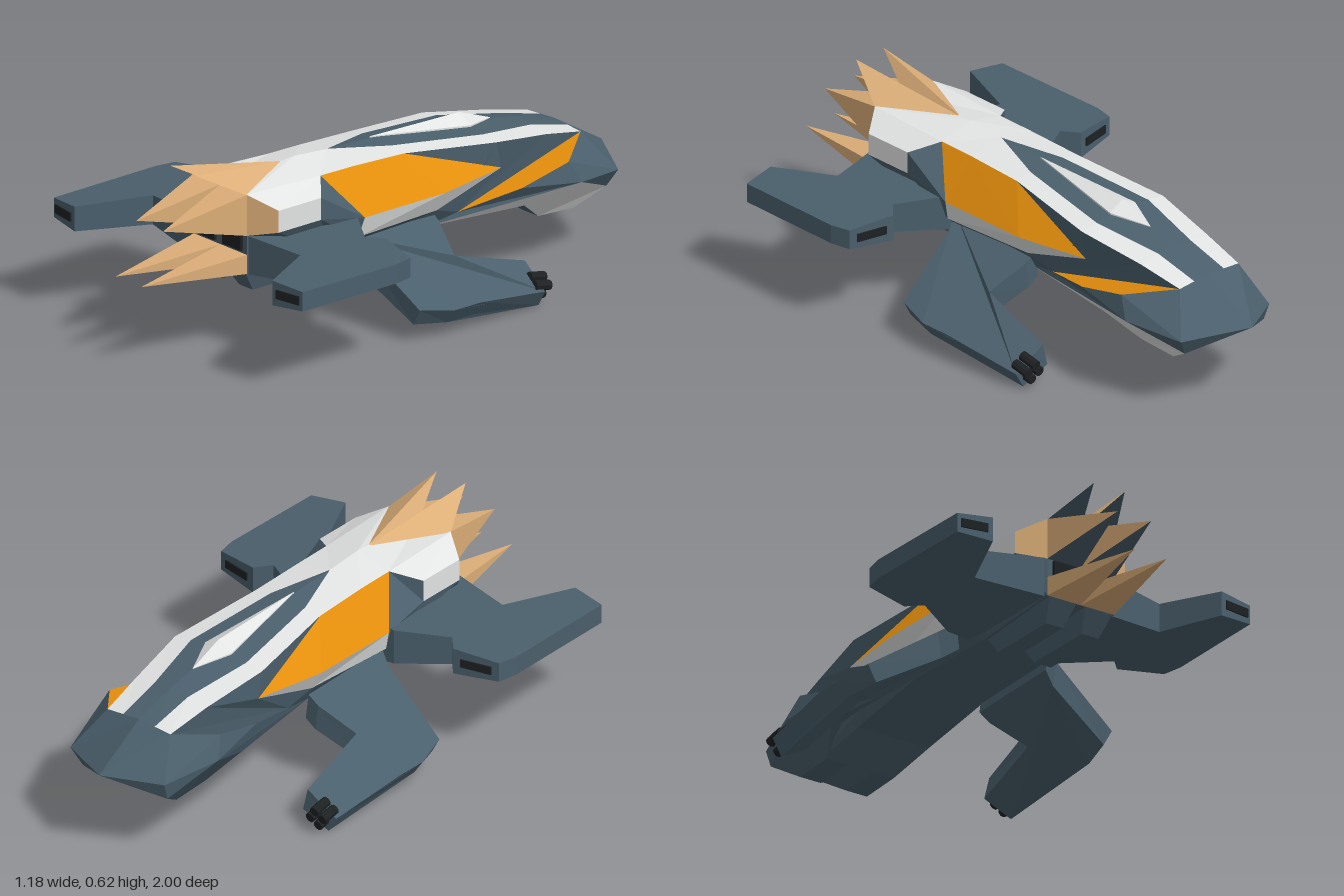
import * as THREE from 'three';

const mat = (name, color) => Object.assign(new THREE.MeshStandardMaterial({ color, flatShading: true }), { name });

export function createModel() {
  const slate = mat('slate', 0x4a5f6c), light = mat('light grey', 0xe2e4e3);
  const orange = mat('orange', 0xe68f0c), tan = mat('tan', 0xdcae78), black = mat('black', 0x1e2123);
  const model = new THREE.Group();
  const hull = new THREE.Group();
  hull.name = 'hull';
  hull.position.x = 0.022;
  model.add(hull);

  const add = (parent, name, geo, material) => {
    const mesh = new THREE.Mesh(geo, material);
    mesh.name = name;
    parent.add(mesh);
    return mesh;
  };

  // Flat panels from corner loops, turned to face away from a reference point
  function panels(name, material, polys, { sides = [1, -1], ref = null } = {}) {
    const out = [];
    for (const s of sides) for (const poly of polys) {
      // the head bulges a little less on the right
      const p = poly.map(([x, y, z]) => new THREE.Vector3(s < 0 && z < -0.44 && x > 0.2 ? 0.03 - x : x * s, y, z));
      const mid = p.reduce((a, v) => a.add(v), new THREE.Vector3()).divideScalar(p.length);
      const n = new THREE.Vector3();
      p.forEach((v, i) => n.add(v.clone().cross(p[(i + 1) % p.length])));
      const from = ref ? new THREE.Vector3(ref[0] * s, ref[1], ref[2]) : new THREE.Vector3(0, 0.36, mid.z);
      if (n.dot(mid.sub(from)) < 0) p.reverse();
      for (let i = 1; i < p.length - 1; i++) out.push(p[0], p[i], p[i + 1]);
    }
    const geo = new THREE.BufferGeometry().setFromPoints(out);
    geo.computeVertexNormals();
    return add(hull, name, geo, material);
  }

  // Deck sections: z, centre y, edge y, half width, stripe half width
  const deck = [
    [-0.8, 0.42, 0.41, 0.13, 0.065], [-0.64, 0.465, 0.445, 0.148, 0.07], [-0.4, 0.51, 0.485, 0.18, 0.115],
    [-0.05, 0.542, 0.52, 0.133, 0.072], [0.16, 0.55, 0.528, 0.13, 0], [0.3, 0.56, 0.53, 0.13, 0], [0.61, 0.54, 0.54, 0.13, 0],
  ].map(([z, yc, ye, w, s]) => ({ c: [0, yc, z], m: [s, yc + (ye - yc) * s / w, z], e: [w, ye, z], s }));
  const stripe = [], plating = [];
  for (let i = 0; i < deck.length - 1; i++) {
    const a = deck[i], b = deck[i + 1];
    if (a.s > 0) stripe.push([a.c, b.c, b.m, a.m]);
    plating.push([a.m, b.m, b.e, a.e]);
  }
  panels('deckStripe', slate, stripe);
  panels('deckPlating', light, plating);

  // Raised canopy with a short skirt
  const front = [0, 0.488, -0.53], ridge = [0, 0.538, -0.4], rim = [0.055, 0.508, -0.4], back = [0, 0.548, -0.02];
  const sunk = ([x, y, z]) => [x, y - 0.02, z];
  panels('canopy', light, [
    [front, ridge, rim], [ridge, back, rim], [front, rim, sunk(rim), sunk(front)], [rim, back, sunk(back), sunk(rim)],
  ]);

  // Hull corners on one side
  const [D0, D1, D2, D3, D4, D5] = deck.map((d) => d.e);
  const tip = [0, 0.3, -1], S0 = [0.21, 0.28, -0.89], S1 = [0.245, 0.375, -0.65], S2 = [0.265, 0.302, -0.69];
  const S3 = [0.237, 0.33, -0.46], N = [0.165, 0.28, -0.25], S4 = [0.14, 0.25, -0.12];
  const L0 = [0.175, 0.22, -0.87], K1 = [0.13, 0.157, -0.77], K2 = [0.13, 0.165, -0.62], K3 = [0.19, 0.245, -0.51];
  const O3 = [0.182, 0.395, -0.42], O4 = [0.22, 0.385, -0.15], O5 = [0.22, 0.385, 0.19];
  const P0 = [0.2, 0.315, 0.2], P1 = [0.18, 0.315, -0.15], B0 = [0.13, 0.25, 0.25], B1 = [0.13, 0.27, 0.61];
  const R0 = [0.215, 0.42, 0.37], R1 = [0.215, 0.495, 0.37], R2 = [0.215, 0.42, 0.55], R3 = [0.215, 0.495, 0.55];
  const T0 = [0.13, 0.54, 0.61], T1 = [0.13, 0.4, 0.61];
  const mid = ([, y, z], dy = 0) => [0, y + dy, z];
  const keel = ([, y, z]) => [0.05, y, z];

  // Head
  panels('headTop', slate, [[deck[0].c, D0, S0, tip], [D0, S1, S0], [S0, S1, S2]]);
  panels('headSides', slate, [[S1, S2, S3], [S2, S3, N], [S2, N, S4], [S0, S2, L0]]);
  panels('headBelly', slate, [
    [tip, S0, L0], [tip, L0, mid(L0)], [mid(L0), L0, K1, keel(K1)], [mid(L0), keel(K1), mid(K1, 0.03)],
    [keel(K1), K1, K2, keel(K2)], [mid(K1, 0.03), keel(K1), keel(K2), mid(K2, 0.03)],
    [mid(K2, 0.03), keel(K2), mid(K3)], [keel(K2), K2, K3, mid(K3)], [mid(K3), K3, S4, mid(S4)],
  ]);
  const cheek = [[S2, L0, K1, K2], [S2, K2, K3], [S2, K3, S4]];
  panels('leftCheek', light, cheek, { sides: [1] });
  panels('rightCheek', slate, cheek, { sides: [-1] });
  panels('headShelf', orange, [[D0, S1, S3, N]], { sides: [1], ref: [0.2, -2, -0.5] });
  // Wall inside the open right side of the head
  panels('innerWall', slate, [[D0, N, S4, [0.13, 0.245, -0.51], K2, K1]], { sides: [-1] });

  // Neck and flanks
  panels('neck', slate, [[N, D0, D1], [N, D1, D2, O3], [D2, D3, O3], [O3, N, P1]]);
  panels('sidePanel', orange, [[D3, O3, O4], [D3, O4, O5, D5, D4]]);
  panels('lowerStrip', light, [[O4, O3, P1], [O5, O4, P1, P0]]);
  panels('underside', slate, [[P1, N, S4], [P0, P1, S4, B0], [mid(S4), S4, B0, mid(B0)], [mid(B0), B0, B1, mid(B1)]]);
  panels('rearFlank', slate, [[D5, O5, R0, R1], [O5, P0, R0], [B0, P0, R0, R2], [B0, R2, T1, B1]]);
  panels('shoulder', light, [[R0, R1, R3, R2], [D5, T0, R3, R1]]);
  panels('shoulderEnd', tan, [[R2, R3, T0, T1]]);
  panels('sternPlate', slate, [[T1, B1, mid(B1), mid(T1)]], { ref: [0, 0.33, 0] });

  // Tail spikes, tan above and dark below
  const spike = (name, corners, point, lower) => {
    const faces = corners.map((c, i) => [c, corners[(i + 1) % corners.length], point]);
    const ref = [0, 1, 2].map((k) => corners.reduce((a, c) => a + c[k], 0) / corners.length);
    panels(name, tan, faces.filter((_, i) => i !== lower), { ref });
    if (lower >= 0) panels(name + 'Shade', slate, [faces[lower]], { ref });
  };
  spike('upperSpike', [[0, 0.555, 0.35], [0.13, 0.538, 0.61], [0, 0.538, 0.61]], [0.06, 0.625, 0.77], 1);
  spike('middleSpike', [[0, 0.54, 0.61], [0.13, 0.54, 0.61], [0.13, 0.4, 0.61], [0, 0.4, 0.61]], [0.065, 0.47, 0.91], 2);
  spike('lowerSpike', [[0, 0.335, 0.61], [0.13, 0.335, 0.61], [0.13, 0.27, 0.61], [0, 0.27, 0.61]], [0.063, 0.302, 1], -1);

  for (const s of [1, -1]) {
    // Exhaust and tapered belly pod
    add(hull, 'exhaust', new THREE.BoxGeometry(0.09, 0.05, 0.02), black).position.set(s * 0.065, 0.37, 0.61);
    const pod = new THREE.BoxGeometry(0.11, 0.08, 0.37);
    const p = pod.attributes.position;
    for (let i = 0; i < p.count; i++) if (p.getY(i) < 0) p.setXYZ(i, p.getX(i) * 0.6, p.getY(i), p.getZ(i) * 0.72);
    pod.computeVertexNormals();
    add(hull, 'bellyPod', pod, slate).position.set(s * 0.07, 0.237, 0.43);
  }

  // Wing plate: outline in x and z, surface heights from a rule
  function wing(name, outline, s, rule) {
    const shape = new THREE.Shape(outline.map(([x, z]) => new THREE.Vector2(x * s, -z)));
    const geo = new THREE.ExtrudeGeometry(shape, { depth: 1, bevelEnabled: false }).rotateX(-Math.PI / 2);
    const p = geo.attributes.position;
    for (let i = 0; i < p.count; i++) {
      const [x, y] = rule(Math.abs(p.getX(i)), p.getY(i) > 0.5, p.getZ(i));
      p.setXY(i, x * s, y);
    }
    geo.computeVertexNormals();
    return add(model, name, geo, slate);
  }
  const frontOutline = [[0.17, 0.22], [0.22, 0.19], [0.465, 0.15], [0.495, 0.03], [0.495, -0.08], [0.47, -0.375],
    [0.36, -0.385], [0.335, -0.11], [0.21, -0.15], [0.17, -0.15]];
  const { clamp, lerp } = THREE.MathUtils;
  for (const s of [1, -1]) {
    const tail = s > 0 ? 0.75 : 0.79, shift = s > 0 ? 0 : -0.03;
    const rearOutline = [[0.12, 0.2], [0.21, 0.2], [0.37, 0.3], [0.415, 0.25], [0.575, 0.285], [0.59, 0.355],
      [0.585, tail], [0.46, tail + 0.02], [0.36, 0.565], [0.12, 0.61]];
    wing('rearWing', rearOutline, s, (x, top) => {
      const t = clamp((x - 0.12) / 0.47, 0, 1);
      return [x, top ? 0.4 - 0.035 * t : 0.265 + 0.035 * t];
    });
    // Drooping arm, thinner at the outer edge, nose dipped
    wing('frontWing', frontOutline, s, (x, top, z) => {
      const y = 0.1 + 0.67 * (0.495 - x) - 0.06 * clamp((-z - 0.11) / 0.27, 0, 1);
      const t = clamp((x - 0.3) / 0.195, 0, 1);
      return top ? [x, y] : [x - lerp(0.012, 0.035, t), y - lerp(0.09, 0.05, t)];
    }).position.z = shift;

    // Wing tip slots
    const rearSlot = add(model, 'rearSlot', new THREE.BoxGeometry(0.095, 0.03, 0.012), black);
    rearSlot.position.set(s * 0.525, 0.333, tail + 0.009);
    rearSlot.rotation.y = s * 0.158;
    const slot = add(model, 'frontSlot', new THREE.BoxGeometry(0.11, 0.028, 0.01), black);
    slot.position.set(s * 0.495, 0.333, 0.267);
    slot.rotation.y = -s * 0.215;

    // Clustered gun barrels
    const gun = new THREE.Group();
    gun.name = 'gun';
    gun.position.set(s * 0.422, 0.066, -0.378 + shift * 1.3);
    gun.rotation.set(-0.2, 0, -s * 0.6);
    model.add(gun);
    for (const [x, y] of [[-1, -1], [1, -1], [1, 1], [-1, 1]]) {
      const barrel = new THREE.CylinderGeometry(0.017, 0.017, 0.065, 8).rotateX(Math.PI / 2);
      add(gun, 'barrel', barrel, black).position.set(x * 0.018, y * 0.02, 0);
    }
  }
  return model;
}
